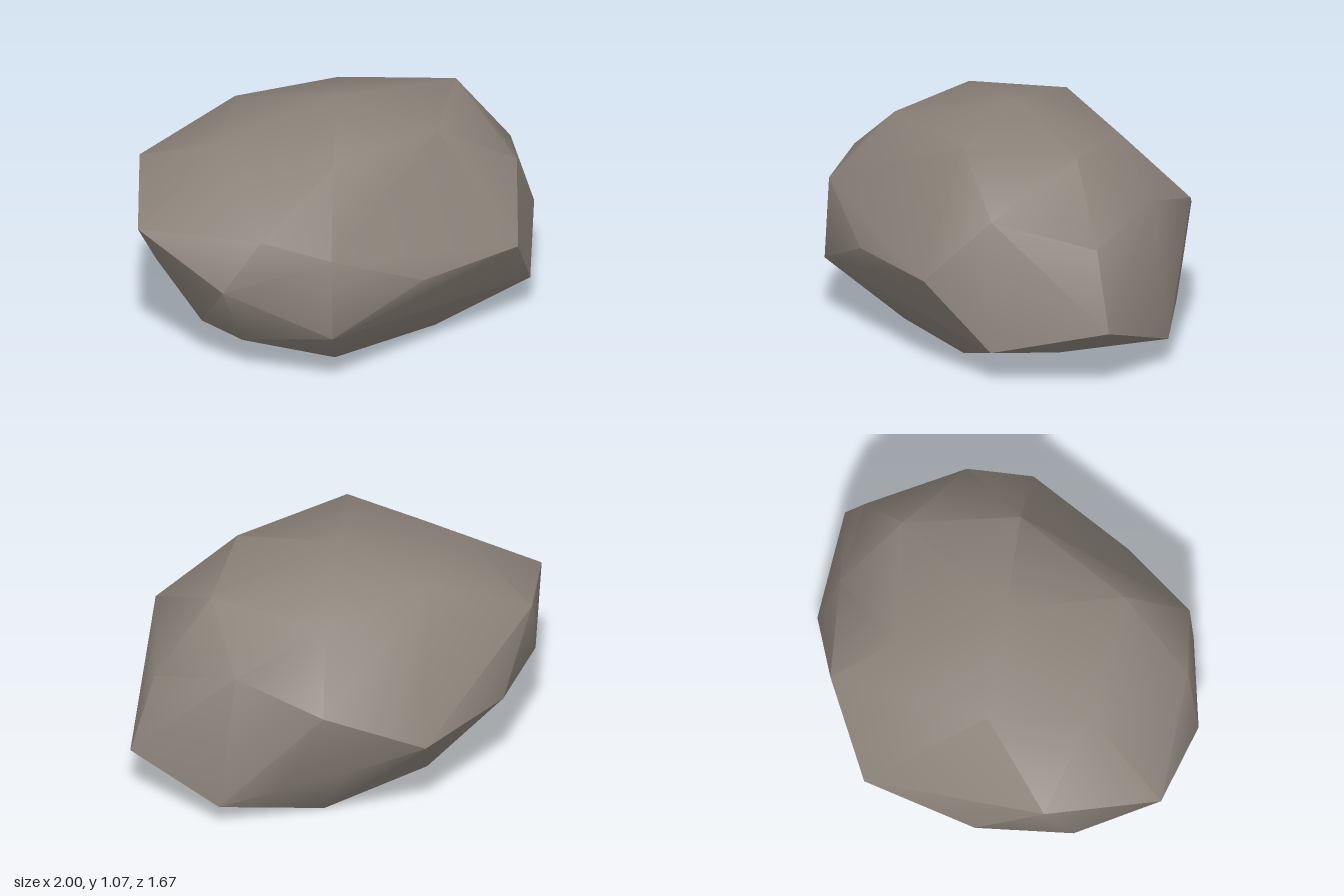
import * as THREE from 'three';
import { ConvexGeometry } from 'three/addons/geometries/ConvexGeometry.js';
import { toCreasedNormals } from 'three/addons/utils/BufferGeometryUtils.js';

// Corner points of the boulder, grouped by region
const CROWN = [
  [0, 1.07, 0], [0.61, 0.98, -0.22], [0.4, 0.98, 0.27], [-0.15, 0.98, 0.52],
  [-0.6, 0.96, 0.13], [-0.4, 0.98, -0.29], [0.13, 0.92, -0.48],
];
const SHOULDER = [
  [0.79, 0.75, 0.19], [0.88, 0.63, -0.28], [0.56, 0.75, -0.56], [0.2, 0.635, -0.785],
  [-0.86, 0.77, -0.23], [-1, 0.66, 0.29], [-0.52, 0.71, 0.66], [-0.23, 0.65, 0.81],
];
const GIRTH = [
  [0.72, 0.46, 0.49], [0.22, 0.46, 0.72], [-0.23, 0.27, 0.83], [-0.69, 0.46, 0.63],
  [-0.9, 0.46, -0.1], [-0.68, 0.46, -0.49], [-0.26, 0.46, -0.84], [1, 0.27, -0.32],
];
const UNDERSIDE = [
  [0.85, 0.15, 0.2], [0.65, 0.12, -0.63], [0.38, 0.22, -0.7], [0.1, 0.31, -0.76],
  [-0.82, 0.31, -0.08], [-0.72, 0.2, 0.36], [-0.57, 0.16, 0.52], [-0.5, 0.05, 0.13],
  [0.52, 0.03, -0.15],
];
const BASE = [[-0.13, 0, 0.48], [0.39, 0, 0.27], [0.15, 0, -0.54], [-0.37, 0, -0.28]];

export function createModel() {
  const group = new THREE.Group();
  group.name = 'rock';

  const stone = new THREE.MeshStandardMaterial({ color: 0x8a8178 });
  stone.name = 'warm grey stone';

  // Convex boulder: soft crown, sharp edges around the broad cut faces
  const points = [CROWN, SHOULDER, GIRTH, UNDERSIDE, BASE].flat()
    .map((p) => new THREE.Vector3(...p));
  const geometry = toCreasedNormals(new ConvexGeometry(points), THREE.MathUtils.degToRad(44));

  const boulder = new THREE.Mesh(geometry, stone);
  boulder.name = 'boulder';
  group.add(boulder);
  return group;
}
